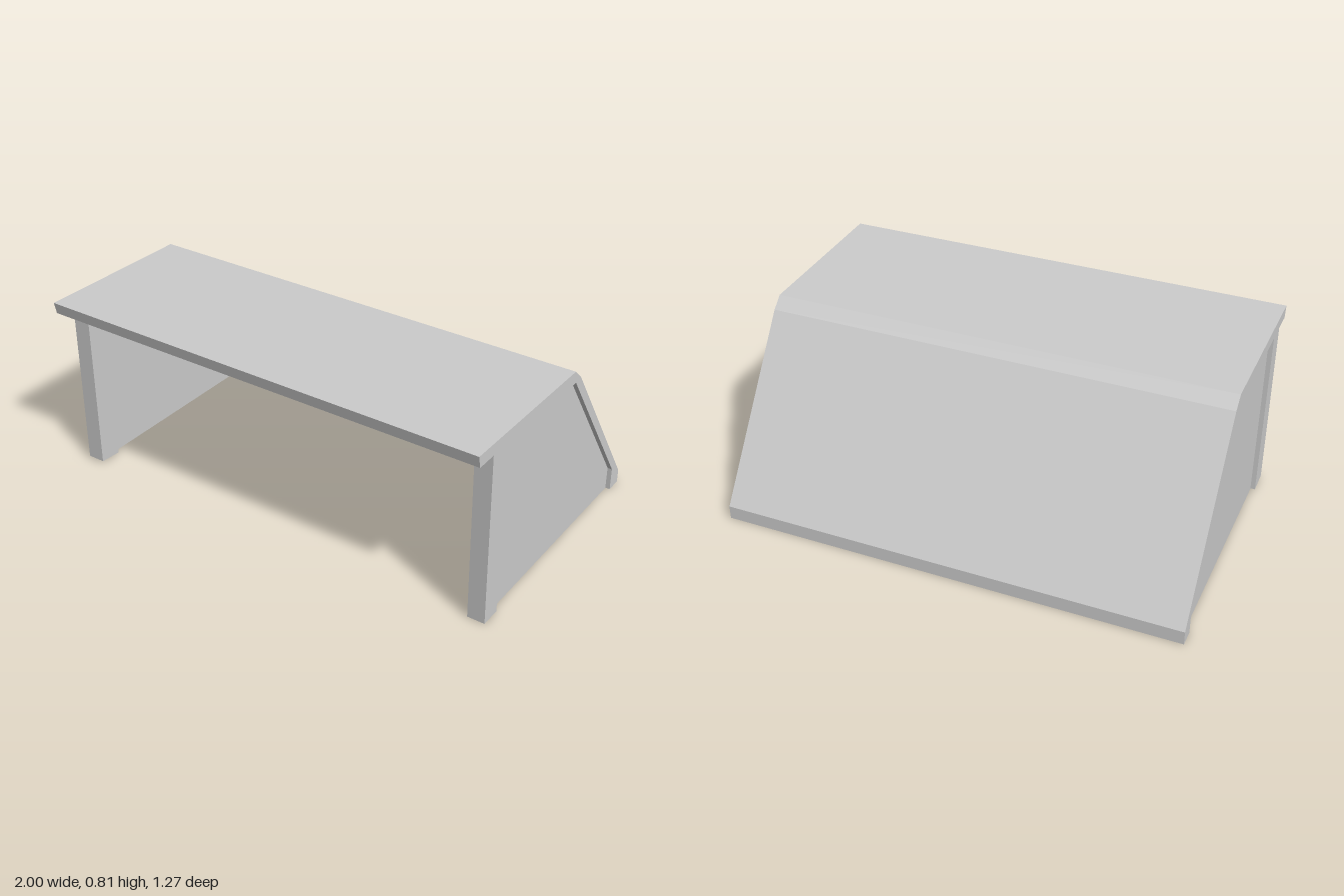
import * as THREE from 'three';

const material = new THREE.MeshStandardMaterial({ color: 0xcccccc, flatShading: true });

// Extrudes a [z, y] side profile across x, from x0 to x1
function slab(name, profile, x0, x1) {
  const shape = new THREE.Shape(profile.map(([z, y]) => new THREE.Vector2(-z, y)));
  const geometry = new THREE.ExtrudeGeometry(shape, { depth: x1 - x0, bevelEnabled: false });
  geometry.rotateY(Math.PI / 2);
  geometry.translate(x0, 0, 0);
  const mesh = new THREE.Mesh(geometry, material);
  mesh.name = name;
  return mesh;
}

export function createModel() {
  const group = new THREE.Group();
  group.name = 'shelter';

  // Roof, sloping back and low rear wall as one bent sheet
  group.add(slab('roofAndBack', [
    [0.635, 0.813], [-0.09, 0.803], [-0.14, 0.757], [-0.632, 0.06], [-0.632, 0],
    [-0.56, 0], [-0.56, 0.102], [-0.1, 0.75], [0.445, 0.758], [0.53, 0.762], [0.624, 0.762],
  ], -1, 1));

  // Side walls, set in from both faces of the frame
  const wall = [[0.45, 0], [0.46, 0.765], [-0.105, 0.755], [-0.57, 0.1], [-0.57, 0]];
  group.add(slab('leftWall', wall, 0.945, 0.98));
  group.add(slab('rightWall', wall, -0.98, -0.945));

  // Front posts; the left one leans in slightly at the foot
  group.add(slab('leftPost', [[0.53, 0.762], [0.515, 0], [0.424, 0], [0.445, 0.758]], 0.925, 1));
  group.add(slab('rightPost', [[0.53, 0.762], [0.53, 0.01], [0.43, 0.003], [0.445, 0.758]], -1, -0.922));

  return group;
}
